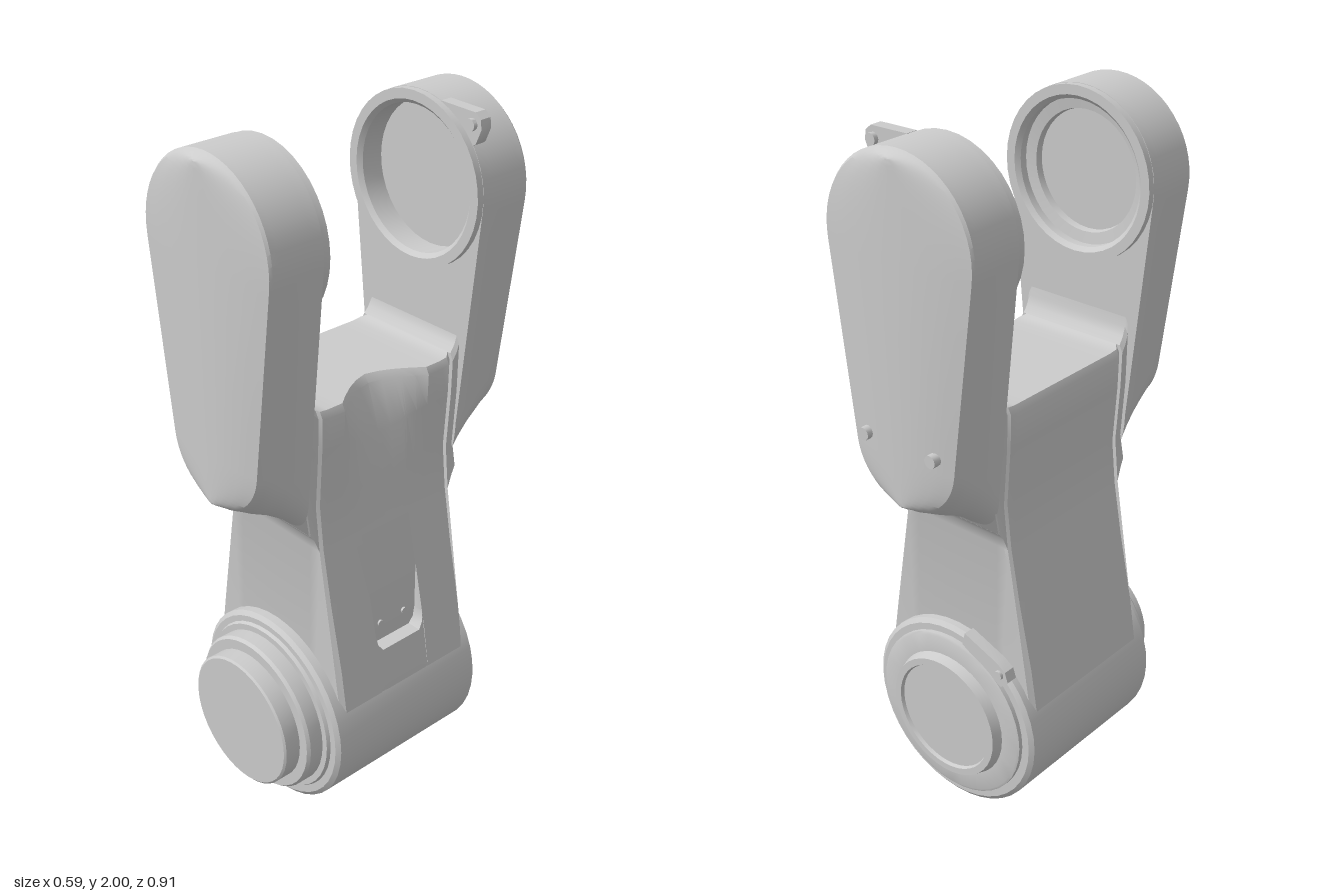
import * as THREE from 'three';
import { toCreasedNormals } from 'three/addons/utils/BufferGeometryUtils.js';

const material = new THREE.MeshStandardMaterial({ color: 0xcccccc, side: THREE.DoubleSide });

function addMesh(parent, name, geometry, crease = 0.6) {
  const mesh = new THREE.Mesh(toCreasedNormals(geometry, crease), material);
  mesh.name = name;
  parent.add(mesh);
  return mesh;
}

// Skin through closed sections of equal point count, ordered from back to front
function loft(sections) {
  const n = sections[0].length, index = [];
  for (let i = 0; i < sections.length - 1; i++) {
    for (let j = 0; j < n; j++) {
      const a = i * n + j, b = i * n + (j + 1) % n;
      index.push(a, b, b + n, a, b + n, a + n);
    }
  }
  const geometry = new THREE.BufferGeometry();
  geometry.setAttribute('position', new THREE.Float32BufferAttribute(sections.flat(2), 3));
  geometry.setIndex(index);
  geometry.computeVertexNormals();
  return geometry;
}

// Turned part about the z axis; profile is [radius, z]
function turned(profile, y) {
  const geometry = new THREE.LatheGeometry(profile.map(p => new THREE.Vector2(...p)), 40);
  return geometry.rotateX(Math.PI / 2).translate(0, y, 0);
}

function pin(radius, length, x, y, z, axis = 'z') {
  const geometry = new THREE.CylinderGeometry(radius, radius, length, 12);
  if (axis === 'z') geometry.rotateX(Math.PI / 2);
  if (axis === 'x') geometry.rotateZ(Math.PI / 2);
  return geometry.translate(x, y, z);
}

// Small rounded lug lying in the xy plane
function lug(points, z, depth) {
  const shape = new THREE.Shape(points.map(p => new THREE.Vector2(...p)));
  return new THREE.ExtrudeGeometry(shape, { depth, bevelEnabled: false }).translate(0, 0, z);
}

const HUB_Y = 0.295, RING_Y = 1.76;

// Neck outline at depth z: tapered body with side pocket, scooped shoulder and saddle
function neckSection(z, { notchY = 0, inset = 0, minY = 0, top = 1.31 } = {}) {
  const scoop = Math.max(0, 1 - Math.pow(Math.abs(z) / 0.15, 1.5));
  const half = side => {
    const pts = [];
    for (let i = 0; i <= 10; i++) {
      const a = THREE.MathUtils.degToRad(-90 + i * 10);
      pts.push([0.285 * Math.cos(a), HUB_Y + 0.285 * Math.sin(a)]);
    }
    const right = side > 0, s = right ? scoop : 0;
    const y0 = right && notchY ? notchY : 0.53;
    const x0 = 0.252 - (y0 - 0.53) * 0.21;
    pts.push([x0, y0], [right && notchY ? 0.21 : x0, y0], [0.21, 0.73], [0.18, 0.9]);
    pts.push([0.167, 1.03], [0.178 - 0.03 * s, 1.2 - 0.04 * s]);
    pts.push([0.18 - 0.075 * s, top - 0.02], [0.17 - 0.08 * s, top]);
    return pts.map(([x, y]) => [
      side * Math.max(0, (y < minY ? Math.min(x, 0.18) : x) - inset), Math.max(y, minY), z]);
  };
  return [...half(1), ...half(-1).reverse()];
}

function buildNeck(group) {
  const stations = [
    [0, { notchY: 0.53 }], [0.04, { notchY: 0.53 }], [0.07, { notchY: 0.53 }],
    [0.085, { notchY: 0.55 }], [0.09, { notchY: 0.58 }], [0.09], [0.12], [0.15], [0.2],
    [0.226, { top: 1.313 }], [0.24, { inset: 0.012, top: 1.32 }],
    [0.24, { minY: 0.9, top: 1.32 }], [0.256, { minY: 0.94, top: 1.34, inset: 0.002 }],
    [0.267, { minY: 0.957, top: 1.365, inset: 0.004 }],
    [0.271, { minY: 0.96, top: 1.4, inset: 0.006 }],
  ];
  const front = stations.map(([z, o]) => neckSection(z, o));
  const back = stations.slice(1).reverse().map(([z, o]) => neckSection(-z, o));
  addMesh(group, 'neck', loft([...back, ...front]), 0.5);
  for (const z of [-0.045, 0.045]) {
    addMesh(group, 'pocketScrew', pin(0.009, 0.008, 0.212, 0.59, z, 'x'));
  }
}

// Fork arm outline: big round head, straight tapering sides, softer foot
function armSection(z, bottom, power, foot = 0.17, scale = 1) {
  const half = [];
  for (let i = 0; i <= 12; i++) {
    const a = (i / 12) * 1.44;
    half.push([foot * Math.pow(Math.sin(a) / Math.sin(1.44), 2 / power),
      1.21 - (1.21 - bottom) * Math.pow(Math.cos(a), 2 / power)]);
  }
  for (let i = 0; i <= 14; i++) {
    const a = -0.128 + (i / 14) * (Math.PI / 2 + 0.128);
    half.push([0.24 * Math.cos(a), RING_Y + 0.24 * Math.sin(a)]);
  }
  const place = side => half.map(([x, y]) => [side * x * scale, 1.5 + (y - 1.5) * scale, z]);
  return [...place(1), ...place(-1).reverse()];
}

function buildArm(stepped) {
  const arm = new THREE.Group();
  const inner = armSection(0.27, 0.96, 5, 0.176);
  const sections = [
    inner, armSection(0.3, 0.985, 4, 0.174), armSection(0.34, 1.005, 3, 0.172),
    armSection(0.38, 1.018, 2.4), armSection(0.405, 1.03, 2.1), armSection(0.425, 1.04, 2),
  ];
  // Crowned outer cover, curved across the width
  const rim = armSection(0.425, 1.04, 2, 0.17, 0.985);
  for (const s of [1, 0.85, 0.65, 0.4, 0.2, 0]) {
    sections.push(rim.map(([x, y]) =>
      [x * s, 1.5 + (y - 1.5) * (1 - 0.03 * (1 - s)), 0.433 + 0.021 * (1 - s * s)]));
  }
  addMesh(arm, 'armShell', loft(sections), 0.5);

  // Inner wall with the bearing opening
  const wall = new THREE.Shape(inner.map(([x, y]) => new THREE.Vector2(x, y)));
  wall.holes.push(new THREE.Path().absarc(0, RING_Y, 0.2, 0, Math.PI * 2, true));
  addMesh(arm, 'armInnerWall', new THREE.ShapeGeometry(wall, 40).rotateY(Math.PI).translate(0, 0, 0.27));

  // Bearing socket
  const lip = [[0.239, 0.275], [0.239, 0.25], [0.212, 0.25], [0.2, 0.262]];
  const floor = stepped
    ? [[0.2, 0.285], [0.168, 0.29], [0.165, 0.31], [0, 0.31]]
    : [[0.2, 0.33], [0, 0.33]];
  addMesh(arm, 'bearingSocket', turned([...lip, ...floor], RING_Y));
  return arm;
}

export function createModel() {
  const group = new THREE.Group();
  buildNeck(group);

  // Lower hub with its stepped front boss and rear ring
  addMesh(group, 'lowerHub', turned([[0, -0.27], [0.28, -0.27], [0.293, -0.26],
    [0.293, 0.265], [0.28, 0.275], [0, 0.275]], HUB_Y));
  addMesh(group, 'frontBoss', turned([[0.262, 0.27], [0.255, 0.285], [0.237, 0.285], [0.237, 0.328],
    [0.23, 0.337], [0.2, 0.337], [0.2, 0.385], [0.194, 0.39], [0, 0.39]], HUB_Y + 0.003));
  addMesh(group, 'rearRing', turned([[0.257, -0.265], [0.257, -0.283], [0.25, -0.286], [0.196, -0.286],
    [0.187, -0.315], [0.167, -0.315], [0.163, -0.305], [0, -0.305]], HUB_Y + 0.003));

  // Fork arms
  const frontArm = buildArm(true);
  frontArm.name = 'frontArm';
  const backArm = buildArm(false);
  backArm.name = 'backArm';
  backArm.rotation.y = Math.PI;
  backArm.position.z = 0.004;
  group.add(frontArm, backArm);

  // Cover screws on the back arm
  for (const x of [-0.115, 0.115]) {
    addMesh(group, 'coverScrew', pin(0.018, 0.035, x, 1.235, -0.443));
  }

  // Latch lugs with pins
  addMesh(group, 'upperLug', lug([[0.08, 1.96], [0.17, 1.88], [0.205, 1.905], [0.222, 1.945],
    [0.218, 1.97], [0.2, 1.985], [0.08, 1.987]], -0.3, 0.035));
  addMesh(group, 'upperLugPin', pin(0.016, 0.06, 0.192, 1.953, -0.283));
  addMesh(group, 'lowerLug', lug([[-0.05, 0.56], [-0.19, 0.48], [-0.215, 0.505], [-0.205, 0.535],
    [-0.175, 0.555], [-0.06, 0.6]], -0.283, 0.035));
  addMesh(group, 'lowerLugPin', pin(0.014, 0.05, -0.185, 0.52, -0.267));
  return group;
}
